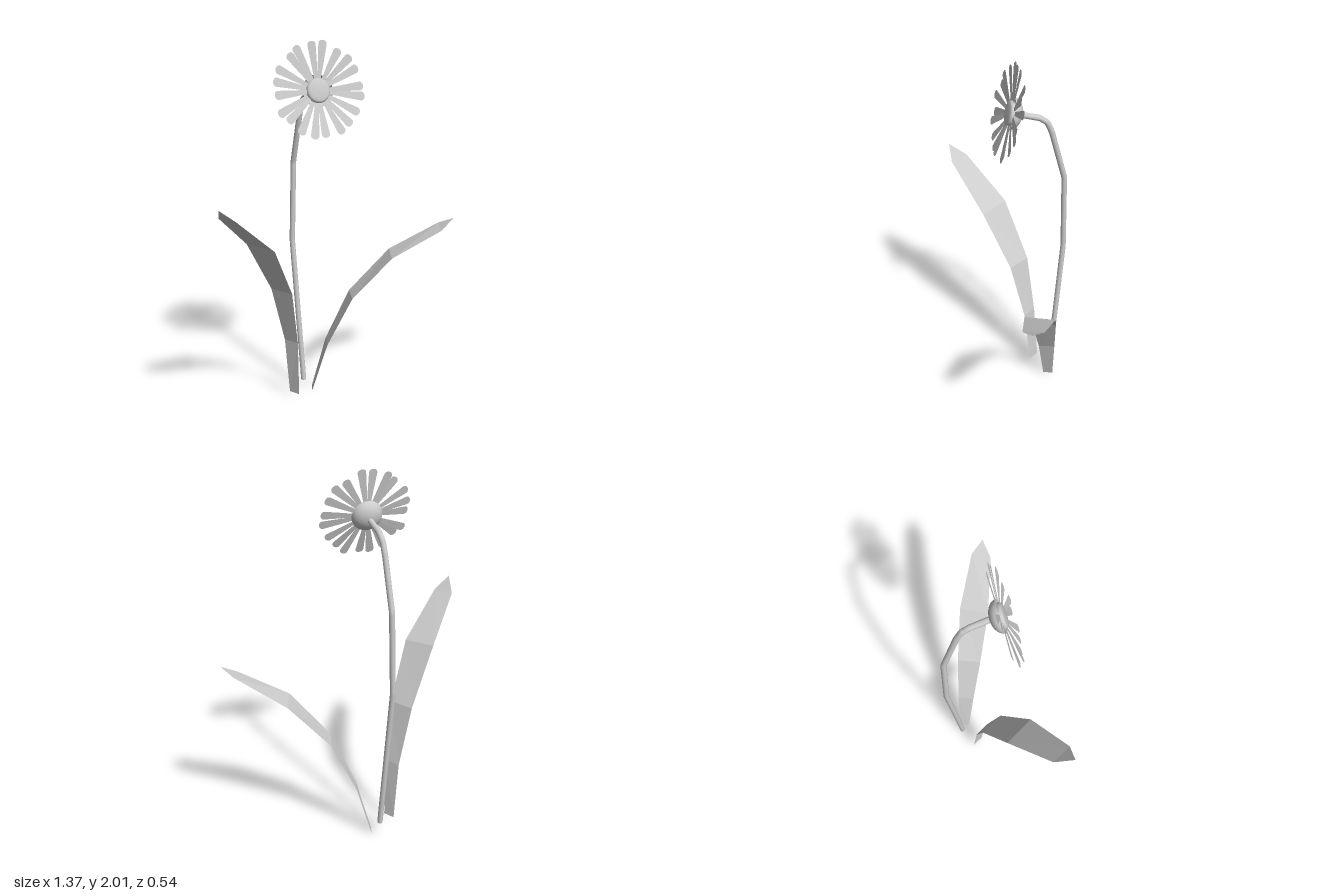
import * as THREE from 'three';

const material = (flatShading = false) => new THREE.MeshStandardMaterial({
  color: 0xcccccc, side: THREE.DoubleSide, flatShading,
});

function add(parent, name, geometry, mat) {
  const mesh = new THREE.Mesh(geometry, mat);
  mesh.name = name;
  parent.add(mesh);
  return mesh;
}

// Faceted blade: rows of [edge, edge] corners, closed by a single tip point
function leafGeometry(rows, tip) {
  const index = [];
  for (let i = 0; i < rows.length - 1; i++) {
    const a = i * 2;
    index.push(a, a + 1, a + 3, a, a + 3, a + 2);
  }
  const last = rows.length * 2;
  index.push(last - 2, last - 1, last);
  const geometry = new THREE.BufferGeometry();
  geometry.setAttribute('position', new THREE.Float32BufferAttribute([...rows.flat(2), ...tip], 3));
  geometry.setIndex(index);
  geometry.computeVertexNormals();
  return geometry;
}

// Flat paddle with a narrow root and a rounded end, rising towards its tip
function petalGeometry(length, halfWidth, rise) {
  const shape = new THREE.Shape();
  const shoulder = length - halfWidth * 0.8;
  shape.moveTo(-0.008, 0.04);
  shape.lineTo(0.008, 0.04);
  shape.lineTo(halfWidth * 0.75, length * 0.6);
  shape.lineTo(halfWidth, shoulder);
  shape.absellipse(0, shoulder, halfWidth, length - shoulder, 0, Math.PI, false, 0);
  shape.closePath();
  const geometry = new THREE.ShapeGeometry(shape, 8);
  const p = geometry.attributes.position;
  for (let i = 0; i < p.count; i++) p.setZ(i, rise * p.getY(i) / length);
  geometry.computeVertexNormals();
  return geometry;
}

const lathe = (profile) => new THREE.LatheGeometry(
  profile.map(([r, y]) => new THREE.Vector2(r, y)), 32,
).rotateX(Math.PI / 2);

export function createModel() {
  const model = new THREE.Group();
  model.name = 'flower';

  // Stem: long straight runs, bending forward under the head
  const points = [
    [-0.095, 0.06, -0.19], [-0.125, 0.9, -0.26], [-0.115, 1.35, -0.25],
    [-0.103, 1.63, -0.175], [-0.1, 1.69, -0.15], [-0.097, 1.72, -0.11], [-0.09, 1.752, -0.015],
  ].map((p) => new THREE.Vector3(...p));
  const path = new THREE.CurvePath();
  for (let i = 1; i < points.length; i++) path.add(new THREE.LineCurve3(points[i - 1], points[i]));
  add(model, 'stem', new THREE.TubeGeometry(path, 90, 0.015, 12), material());
  const cap = add(model, 'stemEnd', new THREE.CircleGeometry(0.015, 12).rotateX(Math.PI / 2), material());
  cap.position.copy(points[0]);

  // Leaves
  add(model, 'rightLeaf', leafGeometry([
    [[-0.2, 0.03, -0.14], [-0.165, 0.03, -0.085]],
    [[-0.23, 0.37, -0.125], [-0.18, 0.37, -0.055]],
    [[-0.31, 0.7, -0.1], [-0.235, 0.7, 0.015]],
    [[-0.47, 1.01, -0.005], [-0.37, 1.0, 0.14]],
    [[-0.66, 1.225, 0.175], [-0.6, 1.225, 0.27]],
  ], [-0.685, 1.295, 0.27]), material(true));
  add(model, 'leftLeaf', leafGeometry([
    [[-0.06, 0, -0.145], [-0.042, 0, -0.197]],
    [[0.015, 0.3, -0.095], [0.04, 0.3, -0.182]],
    [[0.135, 0.59, -0.025], [0.172, 0.59, -0.15]],
    [[0.33, 0.83, 0.062], [0.387, 0.83, -0.087]],
    [[0.59, 0.975, 0.132], [0.63, 0.99, 0.033]],
  ], [0.682, 1.03, 0.105]), material(true));

  // Flower head, tilted slightly upward
  const head = new THREE.Group();
  head.name = 'flowerHead';
  head.position.set(-0.09, 1.765, 0.03);
  head.rotation.x = -0.28;
  model.add(head);

  // Domed cup behind the petals
  const dome = [];
  for (let i = 0; i <= 10; i++) {
    const a = (i / 10) * Math.PI / 2;
    dome.push([0.08 * Math.sin(a), 0.006 - 0.056 * Math.cos(a)]);
  }
  add(head, 'cup', lathe(dome), material());

  // Round centre with a softened rim
  add(head, 'centre', lathe([
    [0.06, 0], [0.061, 0.012], [0.057, 0.02], [0.05, 0.023], [0.03, 0.026], [0, 0.027],
  ]), material());

  // Ring of slightly uneven petals
  const petals = new THREE.Group();
  petals.name = 'petals';
  head.add(petals);
  const count = 20;
  for (let i = 0; i < count; i++) {
    const wobble = Math.sin(i * 2.4);
    const rise = 0.025 + 0.008 * Math.cos(i * 3.7);
    const petal = add(petals, 'petal', petalGeometry(0.239 + 0.006 * wobble, 0.022, rise), material());
    petal.rotation.z = ((i + 0.25) / count) * Math.PI * 2 + 0.05 * wobble;
    petal.position.z = (i % 2) * 0.003;
  }
  return model;
}
